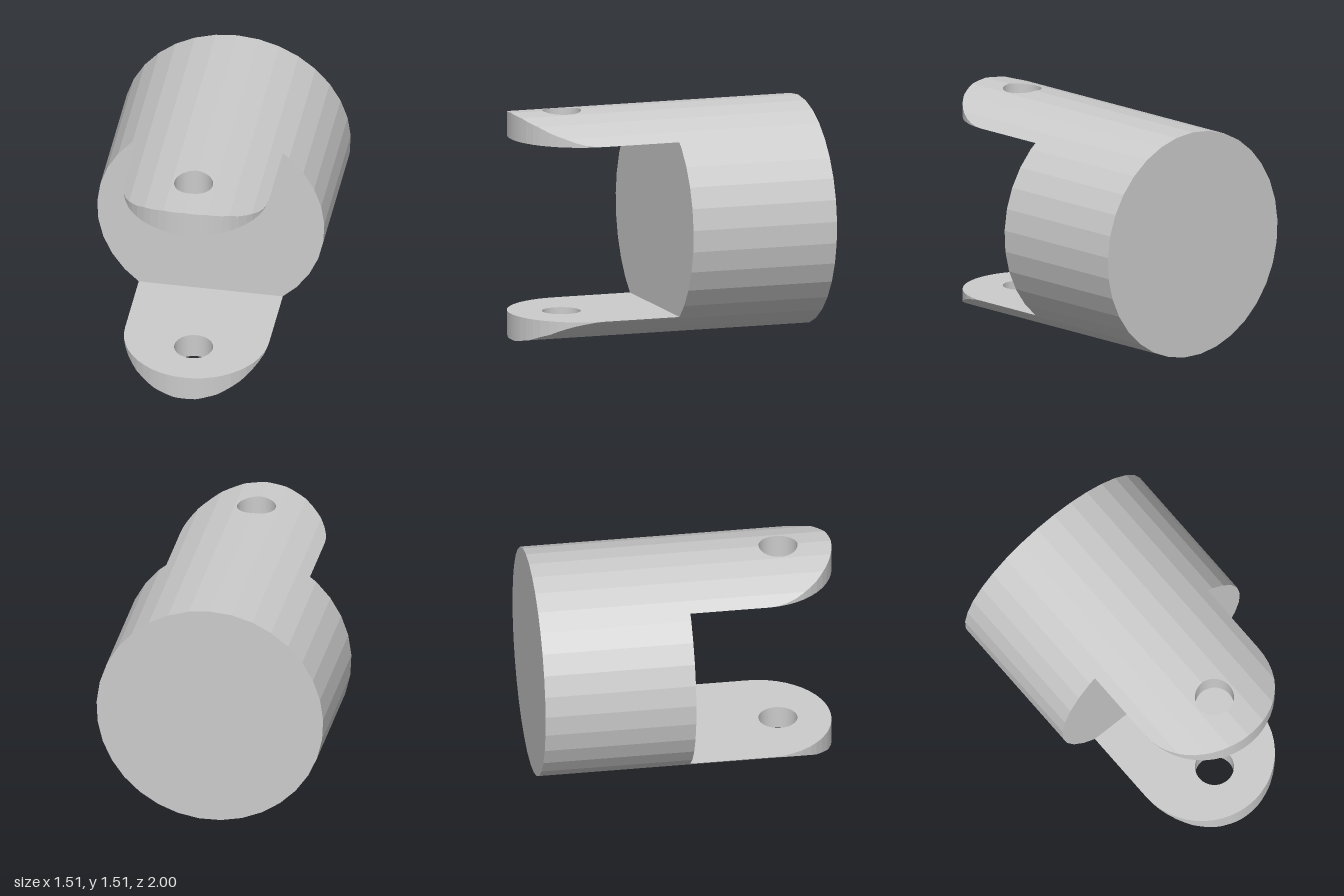
import * as THREE from 'three';

const SIDES = 33, STEP = (2 * Math.PI) / SIDES;
const R = 0.757, CY = 0.755;          // barrel radius and axis height
const W = 0.48, END_Z = 0.52;         // lug half width and centre of its round end
const HOLE_R = 0.128, HOLE_Z = 0.65;  // pin hole

const arc = (r, c, x) => c + Math.sqrt(Math.max(0, r * r - x * x));

// Distance of the faceted barrel surface above (s = 1) or below (s = -1) its axis
function outer(x, s) {
  const a = Math.asin(x / R) / STEP;
  const mid = STEP * (s > 0 ? Math.floor(a) + 0.5 : Math.round(a));
  return (R * Math.cos(STEP / 2) - x * Math.sin(mid)) / Math.cos(mid);
}

// Lug: curved outside, flat inside, rounded tip and a pin hole, built in strips across x
function lugGeometry(s) {
  const xs = [];
  for (let i = 0; i <= 24; i++) {
    const k = Math.sin(Math.PI * (i / 24 - 0.5));
    xs.push(W * k, HOLE_R * k);
  }
  for (let i = -4; i <= 4; i++) {
    const x = R * Math.sin(STEP * (s > 0 ? i : i + 0.5));
    if (Math.abs(x) < W) xs.push(x);
  }
  xs.sort((a, b) => a - b);
  const cols = xs.filter((x, i) => i === 0 || x - xs[i - 1] > 1e-6).map(x => {
    const end = arc(W, END_Z, x), half = arc(HOLE_R, 0, x);
    return { x, end, half, low: Math.min(HOLE_Z - half, end), high: Math.min(HOLE_Z + half, end), h: outer(x, s) };
  });
  const inner = outer(W, s);
  const pos = [];
  const quad = (a, b, c, d) => {
    const order = s > 0 ? [a, b, c, a, c, d] : [a, c, b, a, d, c];
    for (const [x, h, z] of order) pos.push(x, CY + s * h, z);
  };
  for (let i = 0; i + 1 < cols.length; i++) {
    const p = cols[i], q = cols[i + 1];
    // outer and inner faces, behind and in front of the hole
    for (const [z0, z1] of [[() => 0, c => c.low], [c => c.high, c => c.end]]) {
      quad([p.x, p.h, z0(p)], [p.x, p.h, z1(p)], [q.x, q.h, z1(q)], [q.x, q.h, z0(q)]);
      quad([q.x, inner, z0(q)], [q.x, inner, z1(q)], [p.x, inner, z1(p)], [p.x, inner, z0(p)]);
    }
    // upright walls: tip, then both halves of the hole
    const wall = (a, b, key) => quad([a.x, inner, a[key]], [b.x, inner, b[key]], [b.x, b.h, b[key]], [a.x, a.h, a[key]]);
    wall(p, q, 'end');
    if (p.half + q.half > 0) {
      wall(p, q, 'low');
      wall(q, p, 'high');
    }
  }
  const g = new THREE.BufferGeometry();
  g.setAttribute('position', new THREE.Float32BufferAttribute(pos, 3));
  g.computeVertexNormals();
  return g;
}

export function createModel() {
  const group = new THREE.Group();
  group.name = 'clevis';
  const material = new THREE.MeshStandardMaterial({ color: 0xcccccc, flatShading: true });
  const add = (name, geometry) => {
    const mesh = new THREE.Mesh(geometry, material);
    mesh.name = name;
    group.add(mesh);
  };

  // Solid barrel behind the lugs
  add('barrel', new THREE.CylinderGeometry(R, R, 1, SIDES).rotateX(-Math.PI / 2).translate(0, CY, -0.5));

  // Two facing lugs
  add('upperLug', lugGeometry(1));
  add('lowerLug', lugGeometry(-1));
  return group;
}
